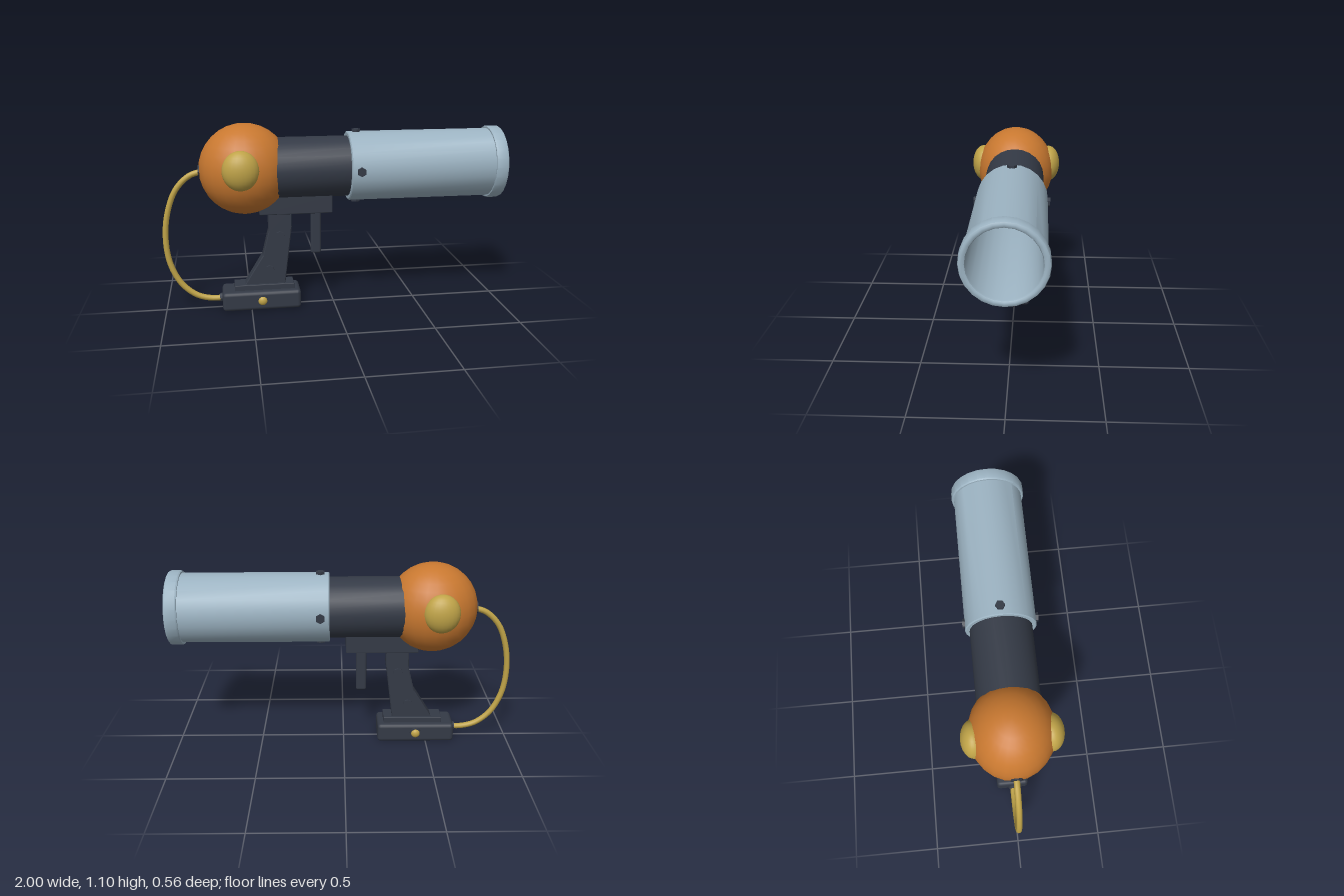
import * as THREE from 'three';
import { toCreasedNormals } from 'three/addons/utils/BufferGeometryUtils.js';
import { RoundedBoxGeometry } from 'three/addons/geometries/RoundedBoxGeometry.js';

const AXIS_Y = 0.84; // height of the barrel axis

const paint = (color) => new THREE.MeshStandardMaterial({ color });
const orange = paint(0xc87830);
const brass = paint(0xbfa348);
const dark = paint(0x343a46);
const steel = paint(0x9cb3c2);

export function createModel() {
  const model = new THREE.Group();

  const add = (name, geometry, material, x = 0, y = 0, z = 0) => {
    const mesh = new THREE.Mesh(geometry, material);
    mesh.name = name;
    mesh.position.set(x, y, z);
    model.add(mesh);
    return mesh;
  };

  // Turned part along x: profile of [x, radius] pairs
  const turned = (name, profile, material) => {
    const points = profile.map(([x, r]) => new THREE.Vector2(r, x));
    const geometry = toCreasedNormals(new THREE.LatheGeometry(points, 24), 0.6);
    geometry.rotateZ(-Math.PI / 2);
    return add(name, geometry, material, 0, AXIS_Y, 0);
  };

  const ellipsoid = (name, material, [x, y, z], [rx, ry, rz]) => {
    const mesh = add(name, new THREE.SphereGeometry(1, 24, 16), material, x, y, z);
    mesh.scale.set(rx, ry, rz);
    return mesh;
  };

  // Short cylinder whose axis points along x, y or z
  const stud = (name, axis, radius, length, sides, [x, y, z]) => {
    const geometry = toCreasedNormals(new THREE.CylinderGeometry(radius, radius, length, sides), 0.6);
    if (axis === 'x') geometry.rotateZ(Math.PI / 2);
    if (axis === 'z') geometry.rotateX(Math.PI / 2);
    return add(name, geometry, dark, x, y, z);
  };

  // Rear tank with a brass dome on each side
  ellipsoid('tank', orange, [-0.515, AXIS_Y, 0], [0.262, 0.262, 0.238]);
  for (const side of [1, -1]) {
    ellipsoid('tankDome', brass, [-0.543, 0.867, side * 0.208], [0.104, 0.112, 0.07]);
  }

  // Inner barrel with a recessed front
  turned('innerBarrel', [
    [-0.45, 0], [-0.45, 0.177], [0.1, 0.177], [0.1, 0.126], [0.06, 0.122], [0.03, 0],
  ], dark);

  // Hollow outer barrel with a rounded muzzle rim
  turned('outerBarrel', [
    [0.08, 0.17], [0.08, 0.195], [0.085, 0.202], [0.925, 0.202],
    [0.925, 0.211], [0.933, 0.216], [0.985, 0.216], [0.995, 0.212], [1, 0.203],
    [1, 0.192], [0.995, 0.184], [0.985, 0.18], [0.085, 0.18], [0.08, 0.17],
  ], steel);

  // Four bolts around the outer barrel
  for (const side of [1, -1]) {
    stud('barrelBolt', 'y', 0.027, 0.03, 6, [0.132, AXIS_Y + side * 0.2, 0]);
    stud('barrelBolt', 'z', 0.027, 0.03, 6, [0.132, AXIS_Y, side * 0.2]);
  }

  // Mount under the barrel
  add('mount', new RoundedBoxGeometry(0.427, 0.11, 0.128, 1, 0.006), dark, -0.227, 0.628, 0);

  // Trigger with rounded edges
  add('trigger', new RoundedBoxGeometry(0.062, 0.29, 0.028, 2, 0.012), dark, -0.106, 0.458, 0);

  // Grip, extruded from its side outline
  const outline = new THREE.Shape([
    [-0.543, 0.13], [-0.297, 0.13], [-0.252, 0.49], [-0.252, 0.59],
    [-0.388, 0.59], [-0.388, 0.47], [-0.425, 0.32],
  ].map(([x, y]) => new THREE.Vector2(x, y)));
  const gripGeometry = new THREE.ExtrudeGeometry(outline, {
    depth: 0.07, bevelThickness: 0.005, bevelSize: 0.005, bevelOffset: -0.005, bevelSegments: 1,
  });
  gripGeometry.translate(0, 0, -0.035);
  add('grip', gripGeometry, dark);

  // Grip bolts run through to both sides
  for (const [x, y] of [[-0.323, 0.44], [-0.388, 0.233]]) {
    stud('gripBolt', 'z', 0.028, 0.106, 8, [x, y, 0]);
  }

  // Base block and the plate between it and the grip
  add('basePlate', new RoundedBoxGeometry(0.353, 0.06, 0.118, 1, 0.004), dark, -0.42, 0.117, 0);
  add('base', new RoundedBoxGeometry(0.464, 0.115, 0.194, 2, 0.022), dark, -0.438, 0.0575, 0);

  // Brass buttons in dark collars
  stud('buttonCollar', 'z', 0.034, 0.216, 12, [-0.436, 0.063, 0]);
  for (const side of [1, -1]) {
    ellipsoid('button', brass, [-0.436, 0.063, side * 0.104], [0.027, 0.027, 0.019]);
  }

  // Hose from the tank to the base, with a collar at each end
  const path = new THREE.CatmullRomCurve3([
    [-0.75, 0.833], [-0.83, 0.808], [-0.91, 0.73], [-0.962, 0.6], [-0.982, 0.45],
    [-0.965, 0.29], [-0.905, 0.16], [-0.82, 0.085], [-0.74, 0.06], [-0.66, 0.058],
  ].map(([x, y]) => new THREE.Vector3(x, y, 0)));
  add('hose', new THREE.TubeGeometry(path, 48, 0.017, 10), brass);
  stud('hoseCollar', 'x', 0.034, 0.04, 10, [-0.76, 0.835, 0]);
  stud('hoseCollar', 'x', 0.026, 0.03, 10, [-0.67, 0.06, 0]);

  return model;
}
